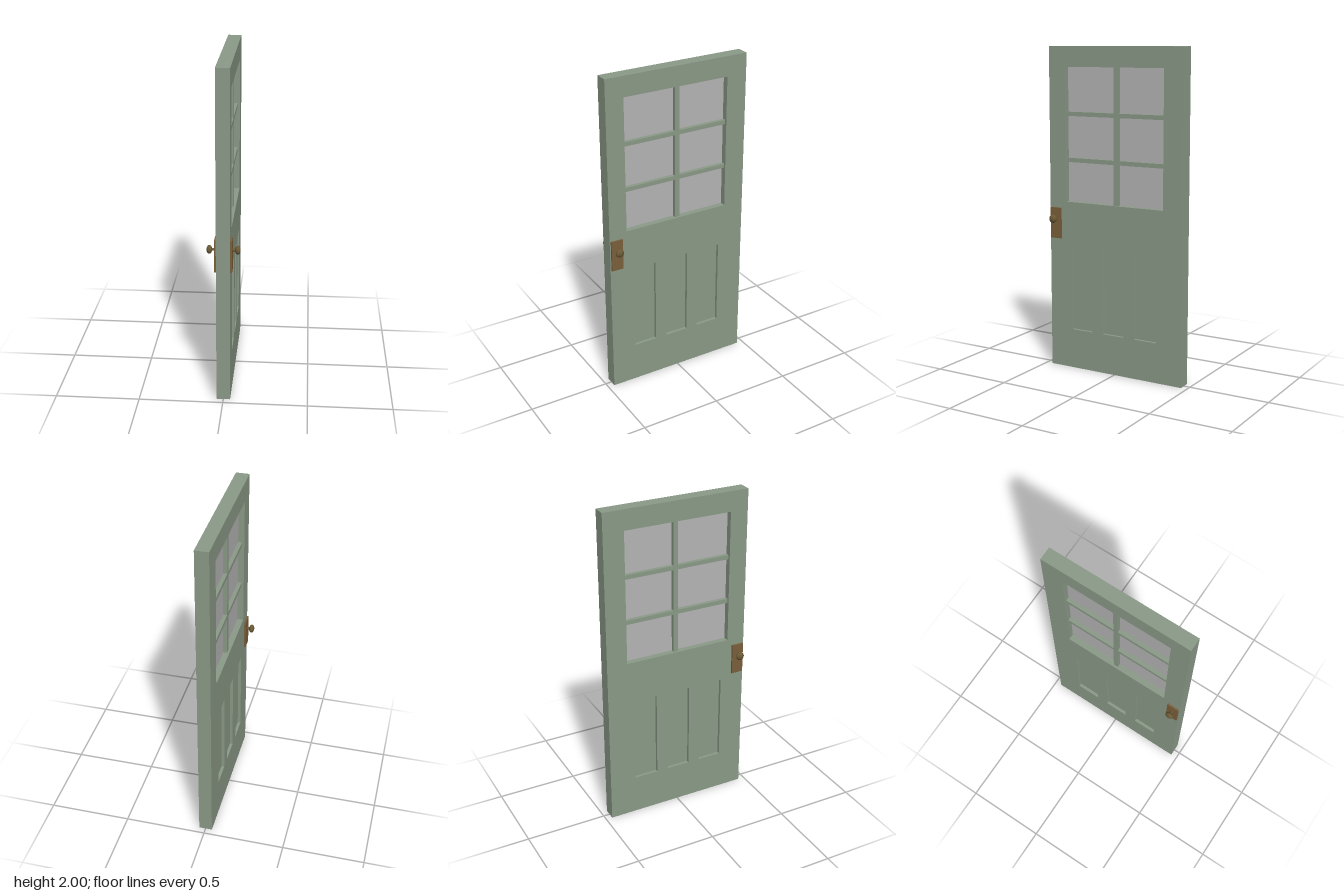
import * as THREE from 'three';

const mat = (name, color) => Object.assign(new THREE.MeshStandardMaterial({ color }), { name });

export function createModel() {
  const paint = mat('sage paint', 0x8a9a87);
  const glass = mat('grey glass', 0xb5b4b5);
  const plateBrass = mat('plate brass', 0x7a5f3b);
  const knobBrass = mat('knob brass', 0x6a5935);

  const door = new THREE.Group();
  door.name = 'door';
  const add = (name, geometry, material, x = 0, y = 0, z = 0) => {
    const mesh = new THREE.Mesh(geometry, material);
    mesh.name = name;
    mesh.position.set(x, y, z);
    door.add(mesh);
    return mesh;
  };

  const T = 0.0405; // half thickness of the door
  // Rectangles as [zMin, zMax, yMin, yMax]
  const win = [-0.331, 0.347, 1.055, 1.877];
  const panels = [[0.157, 0.305], [-0.066, 0.082], [-0.292, -0.141]].map(([a, b]) => [a, b, 0.248, 0.792]);

  const trace = (path, [a, b, c, d]) =>
    path.moveTo(a, c).lineTo(b, c).lineTo(b, d).lineTo(a, d).closePath();
  const slab = (name, [a, b, c, d], half, material) =>
    add(name, new THREE.BoxGeometry(2 * half, d - c, b - a), material, 0, (c + d) / 2, (a + b) / 2);

  // Door frame with openings for the window and the lower panels
  const outline = trace(new THREE.Shape(), [-0.46, 0.46, 0, 2]);
  for (const r of [win, ...panels]) outline.holes.push(trace(new THREE.Path(), r));
  const frame = new THREE.ExtrudeGeometry(outline, { depth: 2 * T, bevelEnabled: false });
  frame.translate(0, 0, -T).rotateY(-Math.PI / 2);
  add('doorFrame', frame, paint);

  // Recessed lower panels
  panels.forEach((r) => slab('recessedPanel', r, 0.022, paint));

  // Window pane and glazing bars
  slab('windowPane', win, 0.003, glass);
  slab('verticalBar', [-0.018, 0.011, win[2], win[3]], 0.027, paint);
  for (const y of [1.313, 1.594]) slab('horizontalBar', [win[0], win[1], y - 0.013, y + 0.013], 0.027, paint);

  // Lock plate, spindle and oval knob on both faces
  for (const s of [-1, 1]) {
    add('lockPlate', new THREE.BoxGeometry(0.0115, 0.192, 0.075), plateBrass, s * (T + 0.005), 0.918, 0.416);
    add('knobStem', new THREE.CylinderGeometry(0.0075, 0.0075, 0.03, 16).rotateZ(Math.PI / 2),
      knobBrass, s * 0.06, 0.947, 0.416);
    add('knob', new THREE.SphereGeometry(0.0255, 24, 16).rotateZ(Math.PI / 2).scale(0.63, 1, 1),
      knobBrass, s * 0.081, 0.947, 0.416);
  }
  return door;
}
